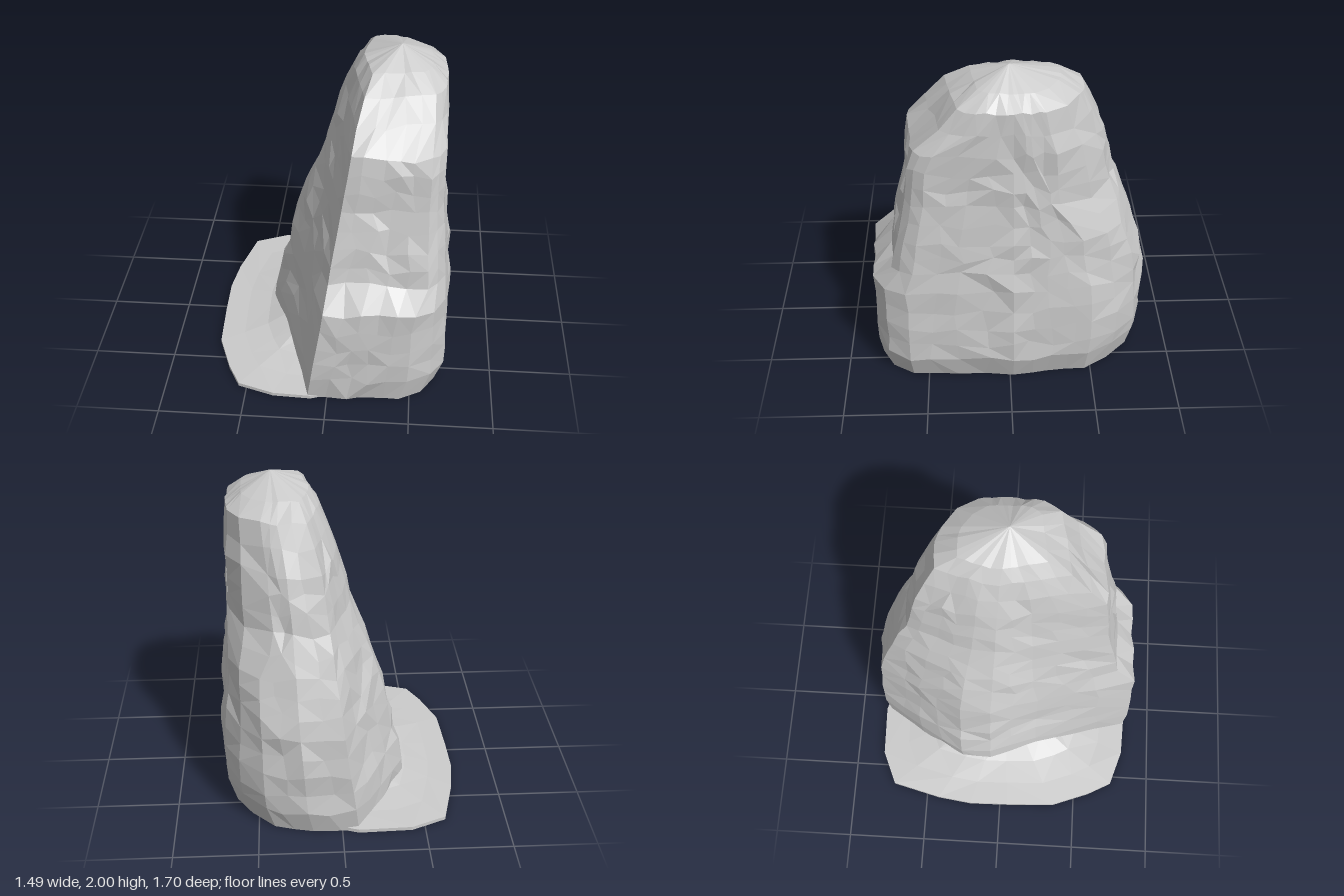
import * as THREE from 'three';

const { lerp, smoothstep } = THREE.MathUtils;
const material = new THREE.MeshStandardMaterial({ color: 0xcccccc, flatShading: true });

// repeatable noise in -1..1
function noise(a, b, c) {
  const s = Math.sin(a * 127.1 + b * 311.7 + c * 74.7) * 43758.5453;
  return (s - Math.floor(s)) * 2 - 1;
}

// closed skin over a stack of loops (anticlockwise from above), with fans at both ends
function loft(loops, bottom, top) {
  const n = loops[0].length;
  const out = [];
  const tri = (...pts) => pts.forEach((p) => out.push(...p));
  for (let i = 0; i < n; i++) {
    const j = (i + 1) % n;
    tri(bottom, loops[0][j], loops[0][i]);
    for (let k = 0; k < loops.length - 1; k++) {
      const [a, b] = [loops[k][i], loops[k][j]];
      const [d, c] = [loops[k + 1][i], loops[k + 1][j]];
      if (noise(i, k, 9) > 0) { tri(a, b, c); tri(a, c, d); }
      else { tri(a, b, d); tri(b, c, d); }
    }
    tri(loops[loops.length - 1][i], loops[loops.length - 1][j], top);
  }
  const geo = new THREE.BufferGeometry();
  geo.setAttribute('position', new THREE.Float32BufferAttribute(out, 3));
  geo.computeVertexNormals();
  return geo;
}

// stone extents by height: y, front z, back z, least x, greatest x
const levels = [
  [0, 0.82, -0.81, -0.43, 0.68],
  [0.16, 0.84, -0.84, -0.41, 0.735],
  [0.4, 0.84, -0.845, -0.34, 0.73],
  [0.66, 0.835, -0.83, -0.28, 0.715],
  [0.79, 0.715, -0.795, -0.25, 0.705],
  [1.0, 0.67, -0.73, -0.18, 0.685],
  [1.12, 0.64, -0.68, -0.13, 0.675],
  [1.24, 0.615, -0.62, -0.085, 0.665],
  [1.57, 0.58, -0.54, 0.0, 0.66],
  [1.7, 0.48, -0.48, 0.05, 0.658],
  [1.83, 0.36, -0.42, 0.1, 0.65],
  [1.91, 0.22, -0.29, 0.16, 0.56],
];

// corners of the stone at one level
function section([y, zf, zb, xl, xr]) {
  const w = xr - xl;
  const ledge = smoothstep(y, 0.6, 0.8); // blunt corner below the front ledge, sharper above
  const cut = smoothstep(y, 1.0, 1.2); // hollow above the rear shoulder
  const slope = smoothstep(y, 1.5, 1.72); // crown slanting down to the front right
  const xfl = Math.max(-0.12 + 0.155 * y, xl + 0.15 * w);
  const xbl = Math.max(-0.1 + 0.13 * y, xl + 0.15 * w);
  return [
    [xfl, zf],
    [xr - lerp(0.22, 0.13, ledge) * w, zf * lerp(0.97, 0.8, slope)],
    [xr - lerp(0.1, 0.07, ledge) * w, zf * lerp(lerp(0.88, 0.91, ledge), 0.68, slope)],
    [xr - lerp(0.03, 0.02, ledge) * w, zf * lerp(lerp(0.72, 0.8, ledge), 0.52, slope)],
    [xr, -0.02],
    [xr - lerp(0.04, 0.03, cut) * w, zb * lerp(0.57, 0.46, cut)],
    [xr - lerp(0.12, 0.16, cut) * w, zb * lerp(0.76, 0.74, cut)],
    [xr - lerp(0.25, 0.38, cut) * w, zb * lerp(0.91, 0.93, cut)],
    [lerp(xbl, xr, 0.35), zb],
    [xbl, zb * 0.98],
    [lerp(xl, xbl, 0.5), zb * 0.67],
    [xl + 0.01 * w, zb * 0.33],
    [xl, zb * 0.1],
    [lerp(xl, xfl, 0.38), zf * 0.26],
  ];
}
const splits = [5, 1, 1, 4, 4, 1, 1, 2, 2, 2, 2, 1, 2, 3];

// rows between the levels, each corner loop divided and roughened
function stoneLoops() {
  const rows = [];
  levels.forEach((lv, k) => {
    rows.push(lv);
    const next = levels[k + 1];
    if (!next) return;
    const steps = Math.max(1, Math.round((next[0] - lv[0]) / 0.12));
    for (let s = 1; s < steps; s++) rows.push(lv.map((v, m) => lerp(v, next[m], s / steps)));
  });
  return rows.map((row, k) => {
    const pts = section(row);
    const calm = Math.min(1, (2 - row[0]) * 2.5); // less roughness near the crown
    const loop = [];
    pts.forEach((p, i) => {
      const q = pts[(i + 1) % pts.length];
      for (let s = 0; s < splits[i]; s++) {
        const crease = s === 0 && (i < 4 || i === 9);
        const t = (s + (s && 0.25 * noise(i, k, s))) / splits[i];
        const x = lerp(p[0], q[0], t);
        const z = lerp(p[1], q[1], t);
        const r = Math.hypot(x - 0.25, z);
        const d = calm * (crease ? 0.005 : 0.013) * noise(k, i, s + 20);
        const dy = k === 0 ? 0 : calm * (crease ? 0.012 : 0.028) * noise(s, k, i + 40);
        loop.push([x + (x - 0.25) / r * d, row[0] + dy, z + z / r * d]);
      }
    });
    return loop;
  });
}

// thin skirt of ground, rising a little toward the stone
function skirtLoops() {
  const outline = [
    [0.3, -0.7], [-0.1, -0.83], [-0.42, -0.82], [-0.63, -0.73], [-0.71, -0.42],
    [-0.74, -0.2], [-0.735, 0.05], [-0.72, 0.36], [-0.63, 0.6], [-0.55, 0.75],
    [-0.33, 0.82], [-0.1, 0.83], [0.3, 0.7],
  ];
  return [[1, 0], [1, 0.022], [0.8, 0.03], [0.6, 0.05], [0.42, 0.1]].map(([s, y], k) =>
    outline.map(([x, z], i) => [x * s, y + (k > 1 ? 0.006 * noise(i, k, 3) : 0), z * s]));
}

export function createModel() {
  const group = new THREE.Group();
  group.name = 'standingStone';

  const stone = new THREE.Mesh(loft(stoneLoops(), [0.2, 0, 0], [0.38, 2, 0]), material);
  stone.name = 'stone';

  const skirt = new THREE.Mesh(loft(skirtLoops(), [0, 0, 0], [0, 0.11, 0]), material);
  skirt.name = 'groundSkirt';

  group.add(stone, skirt);
  return group;
}
